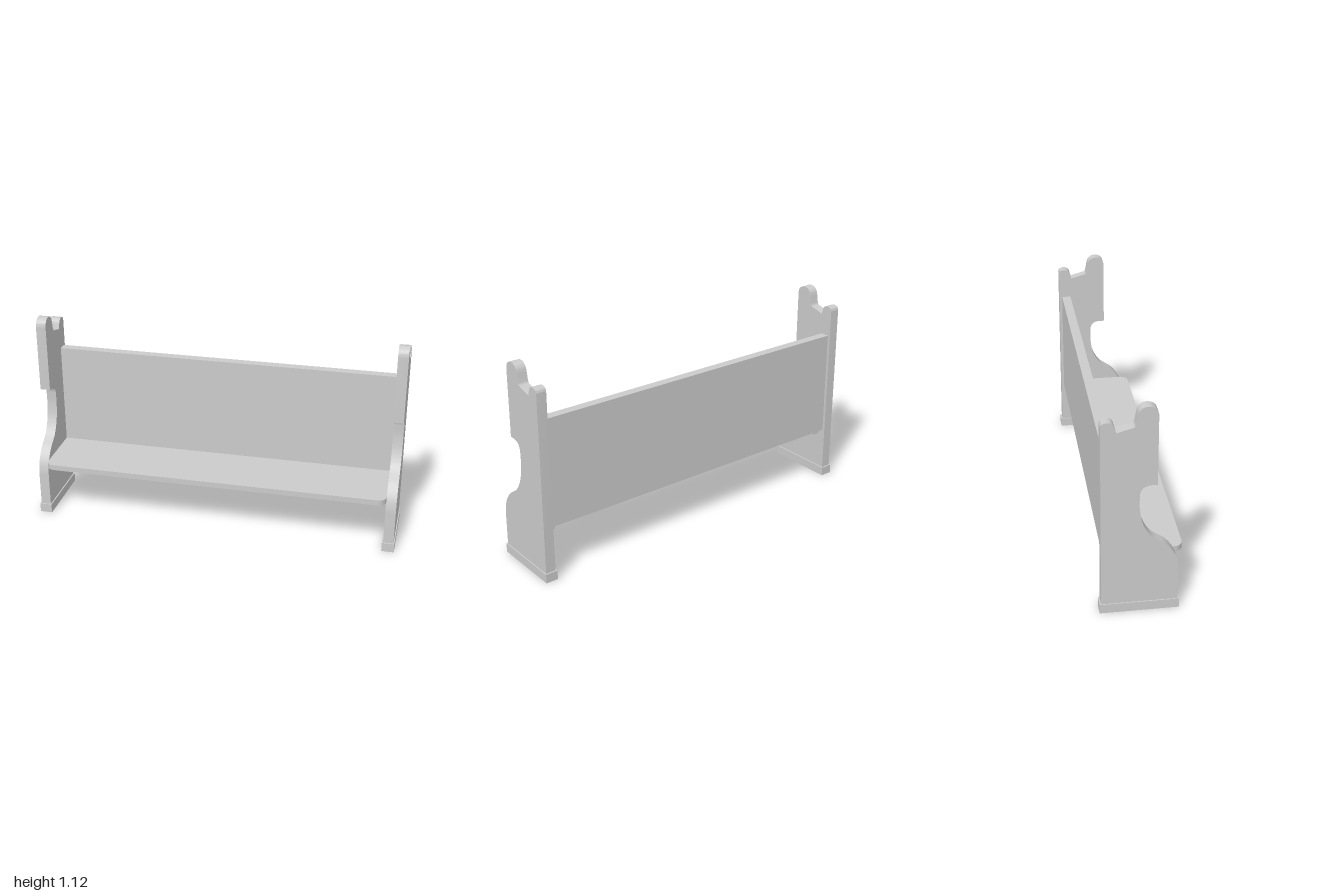
import * as THREE from 'three';
import { toCreasedNormals } from 'three/addons/utils/BufferGeometryUtils.js';

const material = new THREE.MeshStandardMaterial({ color: 0xcccccc });

function addMesh(parent, name, geometry, x = 0, y = 0, z = 0) {
  const mesh = new THREE.Mesh(geometry, material);
  mesh.name = name;
  mesh.position.set(x, y, z);
  parent.add(mesh);
  return mesh;
}

// Box given by its minimum and maximum corners
function addBox(parent, name, [x0, y0, z0], [x1, y1, z1]) {
  return addMesh(parent, name, new THREE.BoxGeometry(x1 - x0, y1 - y0, z1 - z0),
    (x0 + x1) / 2, (y0 + y1) / 2, (z0 + z1) / 2);
}

const points = (list) => list.map(([a, b]) => new THREE.Vector2(a, b));

// Side profile, drawn as (z, y)
function sideGeometry(thickness) {
  const s = new THREE.Shape();
  s.moveTo(-0.2, 0.05);
  s.lineTo(0.177, 0.05);
  s.lineTo(0.177, 0.21);
  // Swelling lower front running up into the arm recess
  s.splineThru(points([[0.174, 0.262], [0.157, 0.318], [0.115, 0.374], [0.041, 0.43],
    [0, 0.504], [-0.015, 0.587], [-0.015, 0.655]]));
  s.bezierCurveTo(-0.015, 0.69, 0.005, 0.71, 0.045, 0.71);
  s.lineTo(0.068, 0.71);
  s.lineTo(0.068, 1.072);
  // Front horn
  s.bezierCurveTo(0.068, 1.1, 0.05, 1.12, 0.018, 1.12);
  s.bezierCurveTo(-0.01, 1.12, -0.025, 1.1, -0.029, 1.075);
  s.lineTo(-0.036, 1.037);
  s.quadraticCurveTo(-0.039, 1.02, -0.048, 1.017);
  // Sloping notch and back horn
  s.lineTo(-0.127, 0.996);
  s.lineTo(-0.136, 1.027);
  s.bezierCurveTo(-0.141, 1.043, -0.152, 1.05, -0.17, 1.05);
  s.bezierCurveTo(-0.187, 1.05, -0.2, 1.042, -0.2, 1.027);
  s.closePath();
  const g = new THREE.ExtrudeGeometry(s, { depth: thickness, bevelEnabled: false, curveSegments: 10 });
  g.rotateY(-Math.PI / 2);
  g.translate(thickness / 2, 0, 0);
  return toCreasedNormals(g, 0.6);
}

// Seat outline in plan, with rounded front corners
function seatGeometry(halfWidth, back, front, radius, thickness) {
  const s = new THREE.Shape();
  s.moveTo(-halfWidth, -back);
  s.lineTo(-halfWidth, -front + radius);
  s.absarc(-halfWidth + radius, -front + radius, radius, Math.PI, 1.5 * Math.PI);
  s.absarc(halfWidth - radius, -front + radius, radius, 1.5 * Math.PI, 2 * Math.PI);
  s.lineTo(halfWidth, -back);
  s.closePath();
  const g = new THREE.ExtrudeGeometry(s, { depth: thickness, bevelEnabled: false, curveSegments: 8 });
  g.rotateX(-Math.PI / 2);
  return toCreasedNormals(g, 0.6);
}

export function createModel() {
  const model = new THREE.Group();
  model.name = 'bench';

  const panel = sideGeometry(0.055);
  for (const [side, word] of [[1, 'left'], [-1, 'right']]) {
    const end = new THREE.Group();
    end.name = word + 'End';
    addMesh(end, 'sidePanel', panel, side * 0.967);
    // Foot plate under the panel
    addBox(end, 'foot', [side * 0.9665 - 0.0335, 0, -0.208], [side * 0.9665 + 0.0335, 0.05, 0.185]);
    // Cleat carrying the seat
    addBox(end, 'seatCleat', [side * 0.92 - 0.02, 0.255, -0.15], [side * 0.92 + 0.02, 0.29, 0.13]);
    model.add(end);
  }

  addBox(model, 'backBoard', [-0.94, 0.29, -0.185], [0.94, 0.88, -0.135]);
  addMesh(model, 'seat', seatGeometry(0.94, -0.135, 0.21, 0.045, 0.03), 0, 0.29, 0);

  return model;
}
